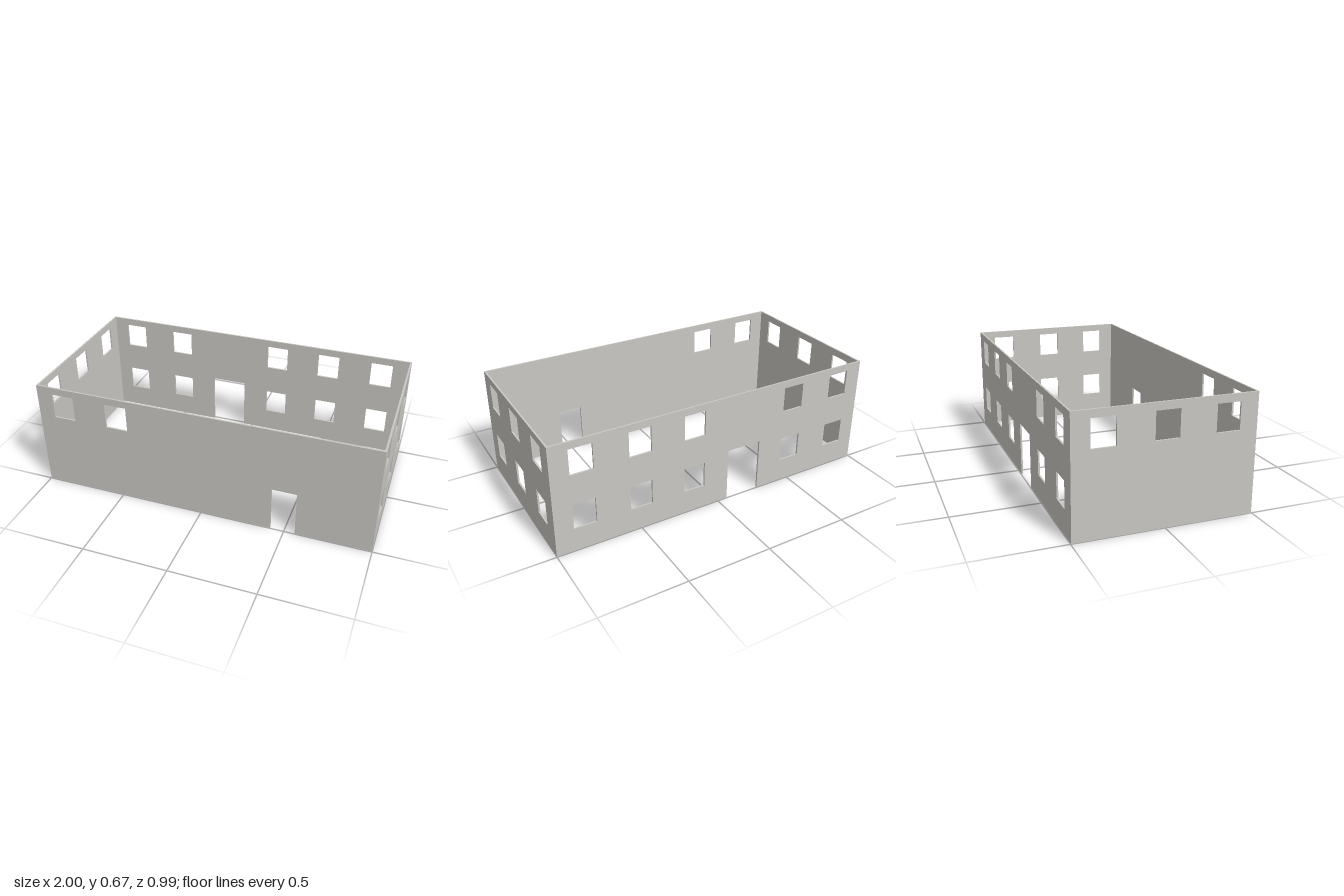
import * as THREE from 'three';

const HEIGHT = 0.665, HALF_X = 1, HALF_Z = 0.497, THICK = 0.01;
const WIN_W = 0.132, UPPER = [0.47, 0.622], LOWER = [0.14, 0.29];

// Row of window openings: [left, right, bottom, top]
const windows = (centres, [bottom, top]) =>
  centres.map((c) => [c - WIN_W / 2, c + WIN_W / 2, bottom, top]);

// Thin wall panel with window holes and an optional doorway notch [left, right, top]
function wallGeometry(half, openings, door) {
  const outline = [[-half, 0]];
  if (door) {
    const [l, r, t] = door;
    outline.push([l, 0], [l, t], [r, t], [r, 0]);
  }
  outline.push([half, 0], [half, HEIGHT], [-half, HEIGHT]);
  const shape = new THREE.Shape(outline.map(([x, y]) => new THREE.Vector2(x, y)));
  for (const [l, r, b, t] of openings) {
    shape.holes.push(new THREE.Path([
      new THREE.Vector2(l, b), new THREE.Vector2(l, t),
      new THREE.Vector2(r, t), new THREE.Vector2(r, b),
    ]));
  }
  return new THREE.ExtrudeGeometry(shape, { depth: THICK, bevelEnabled: false });
}

export function createModel() {
  const group = new THREE.Group();
  group.name = 'buildingShell';
  const plaster = new THREE.MeshStandardMaterial({ color: 0xcac8c3 });
  plaster.name = 'warm grey plaster';

  const addWall = (name, geometry) => {
    const mesh = new THREE.Mesh(geometry, plaster);
    mesh.name = name;
    group.add(mesh);
    return mesh;
  };

  // Front wall: two upper windows and a small doorway
  const front = addWall('frontWall',
    wallGeometry(HALF_X, windows([-0.836, -0.504], UPPER), [0.42, 0.563, 0.278]));
  front.position.z = HALF_Z - THICK;

  // Back wall: two rows of five windows around a wide doorway
  const backCentres = [-0.837, -0.504, 0.161, 0.494, 0.827];
  const back = addWall('backWall', wallGeometry(HALF_X,
    [...windows(backCentres, UPPER), ...windows(backCentres, LOWER)],
    [-0.278, -0.062, 0.32]));
  back.position.z = -HALF_Z;

  // Side walls fit between the front and back walls
  const sideCentres = [-0.332, 0, 0.332];
  const sideHalf = HALF_Z - THICK;
  const left = addWall('leftWall', wallGeometry(sideHalf,
    [...windows(sideCentres, UPPER), ...windows(sideCentres, LOWER)]));
  left.rotation.y = Math.PI / 2;
  left.position.x = HALF_X - THICK;

  const right = addWall('rightWall', wallGeometry(sideHalf, windows(sideCentres, UPPER)));
  right.rotation.y = Math.PI / 2;
  right.position.x = -HALF_X;

  return group;
}
